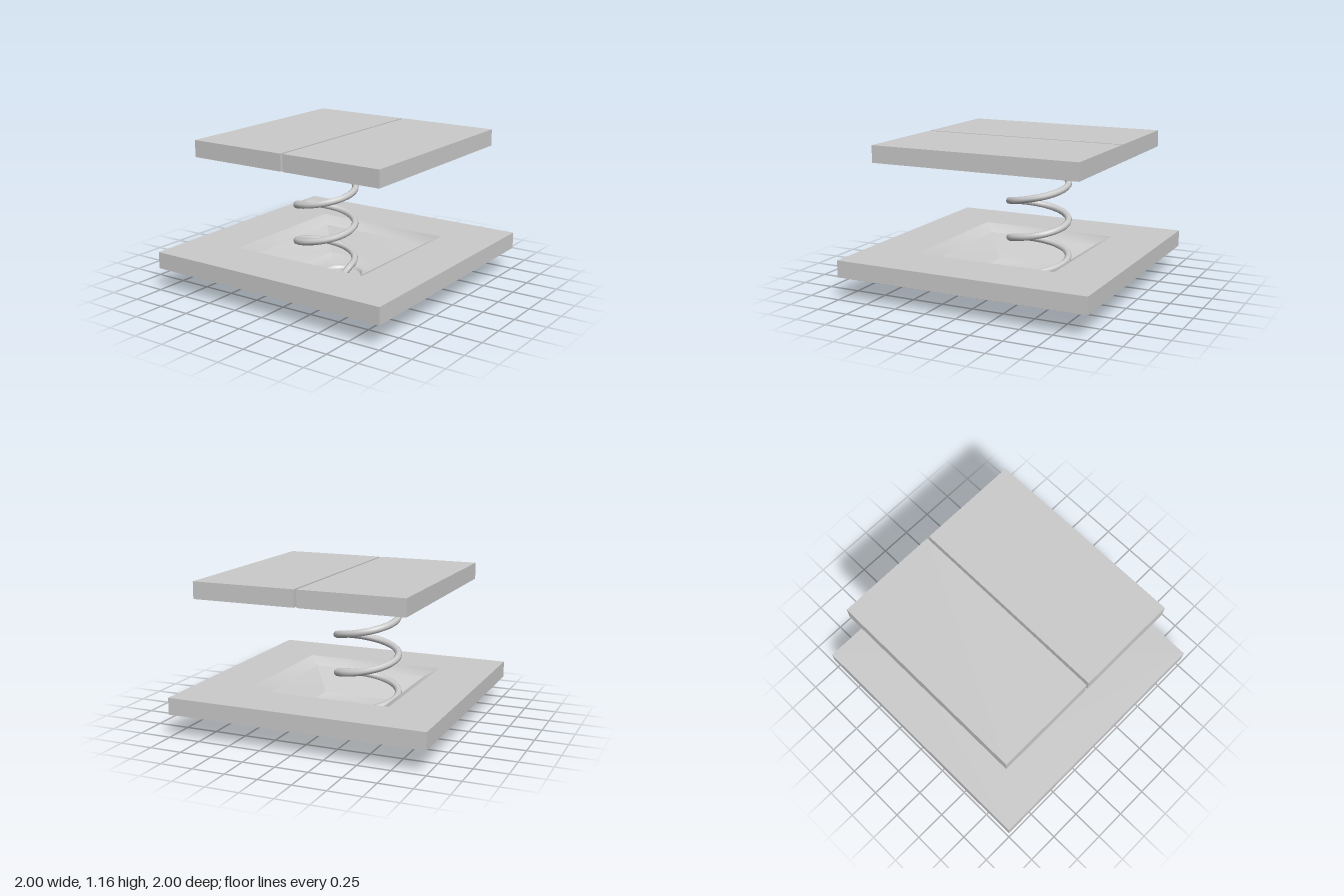
import * as THREE from 'three';
import { toCreasedNormals } from 'three/addons/utils/BufferGeometryUtils.js';

const material = new THREE.MeshStandardMaterial({ color: 0xcccccc });
const thinMaterial = new THREE.MeshStandardMaterial({ color: 0xcccccc, side: THREE.DoubleSide });

function add(parent, name, geometry, x = 0, y = 0, z = 0, mat = material) {
  const mesh = new THREE.Mesh(geometry, mat);
  mesh.name = name;
  mesh.position.set(x, y, z);
  parent.add(mesh);
  return mesh;
}

// Sweeps a [half width, height] profile around a square
function squareSweep(profile, crease) {
  const points = profile.map(([half, y]) => new THREE.Vector2(half * Math.SQRT2, y));
  const geometry = new THREE.LatheGeometry(points, 4).rotateY(Math.PI / 4);
  return toCreasedNormals(geometry, crease);
}

// Box given by its limits on each axis
function slab(parent, name, x0, x1, y0, y1, z0, z1) {
  return add(parent, name, new THREE.BoxGeometry(x1 - x0, y1 - y0, z1 - z0),
    (x0 + x1) / 2, (y0 + y1) / 2, (z0 + z1) / 2);
}

export function createModel() {
  const model = new THREE.Group();
  model.name = 'springPlatform';

  // Square base frame, with a raised rim around its underside
  const base = new THREE.Group();
  base.name = 'base';
  model.add(base);
  add(base, 'baseFrame', squareSweep([
    [0.57, 0.235], [0.786, 0.235], [0.786, 0.175], [1, 0.175],
    [1, 0.305], [0.57, 0.305],
  ], 0.3));

  // Sunken basin with sloping walls, outside then inside
  add(base, 'basin', squareSweep([
    [0, 0], [0.26, 0], [0.33, 0.035], [0.45, 0.17], [0.57, 0.235],
    [0.57, 0.305], [0.47, 0.25], [0.34, 0.065], [0.27, 0.03], [0, 0.03],
  ], 0.75), 0, 0, 0, thinMaterial);

  // Round spring seat on the basin floor
  const seat = [[0.15, 0.02], [0.2, 0.02], [0.2, 0.045], [0.19, 0.055], [0.165, 0.055], [0.15, 0.035], [0, 0.032]]
    .map(([r, y]) => new THREE.Vector2(r, y));
  add(base, 'springSeat', toCreasedNormals(new THREE.LatheGeometry(seat, 32), 0.6));

  // Coil spring, three turns between the seat and the top
  const turns = 3;
  const steps = 48;
  const path = [new THREE.Vector3(0, 0.03, -0.03)];
  for (let i = 0; i <= steps; i++) {
    const t = i / steps;
    const a = t * turns * Math.PI * 2;
    path.push(new THREE.Vector3(
      -0.215 + 0.01 * t + 0.235 * Math.cos(a),
      0.08 + 0.9 * t,
      -0.085 - 0.235 * Math.sin(a)));
  }
  path.push(new THREE.Vector3(0.04, 1.025, -0.1));
  add(model, 'spring', new THREE.TubeGeometry(new THREE.CatmullRomCurve3(path), 160, 0.027, 8));

  // Two top panels with a narrow gap
  const top = new THREE.Group();
  top.name = 'top';
  model.add(top);
  slab(top, 'rightPanel', -0.795, 0.012, 1.03, 1.16, -0.86, 0.77);
  slab(top, 'leftPanel', 0.032, 0.84, 1.03, 1.16, -0.86, 0.77);

  // Thin cross-shaped bracket under the panels
  slab(top, 'crossBracketAcross', -0.665, 0.715, 1.015, 1.032, -0.13, 0.08);
  slab(top, 'crossBracketAlong', -0.1, 0.11, 1.016, 1.031, -0.715, 0.665);

  // Hinge pin inside the gap
  add(top, 'hingePin', new THREE.CylinderGeometry(0.009, 0.009, 1.46, 12).rotateX(Math.PI / 2),
    0.022, 1.05, -0.045);

  return model;
}
